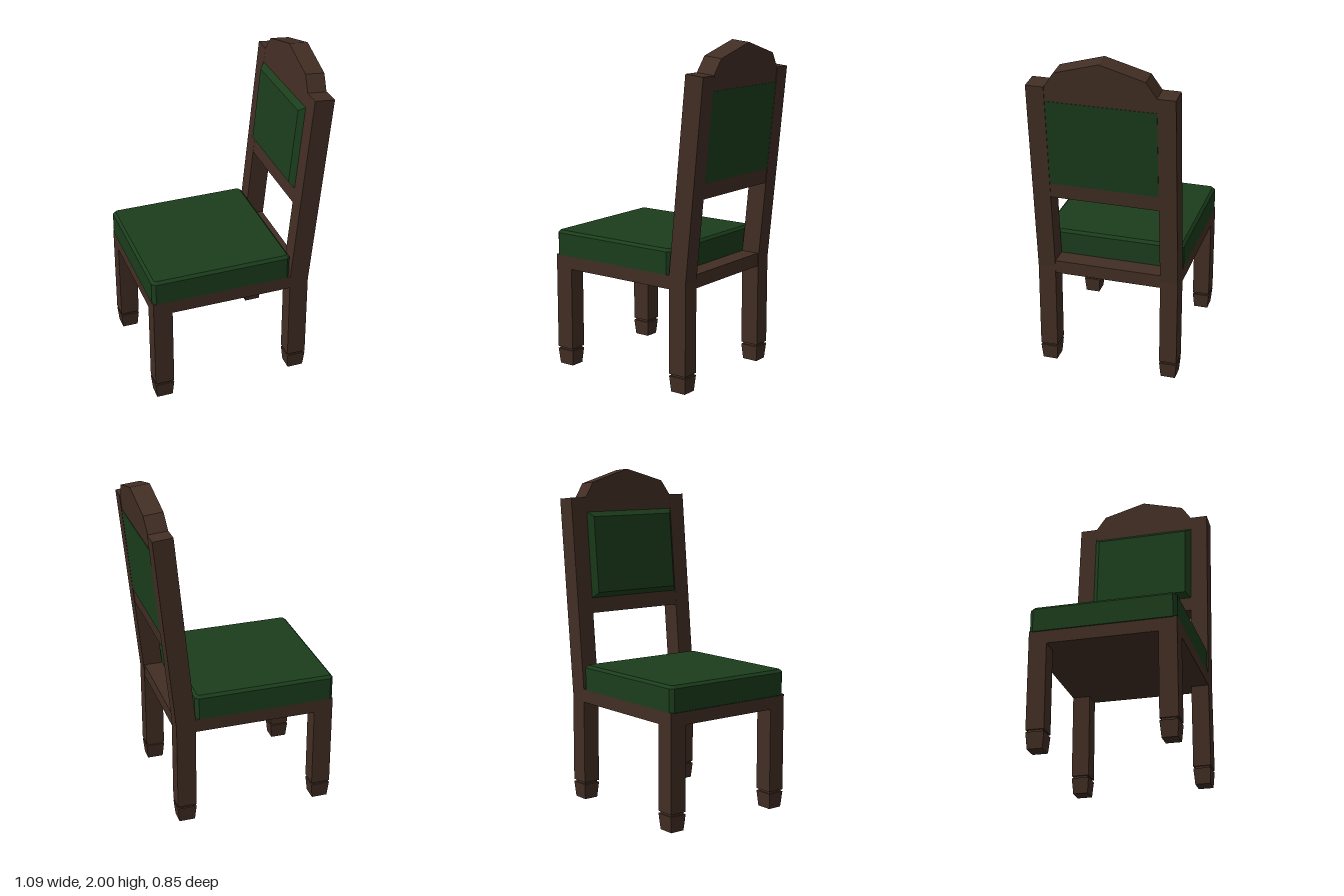
import * as THREE from 'three';

const wood = new THREE.MeshStandardMaterial({ color: 0x422e24, flatShading: true });
const fabric = new THREE.MeshStandardMaterial({ color: 0x1b3d1c, flatShading: true });

function add(parent, name, geometry, material, x = 0, y = 0, z = 0) {
  const mesh = new THREE.Mesh(geometry, material);
  mesh.name = name;
  mesh.position.set(x, y, z);
  parent.add(mesh);
  return mesh;
}

const polygon = (points) => new THREE.Shape(points.map(([x, y]) => new THREE.Vector2(x, y)));

// Rectangle with cut corners, extruded with a single chamfer
function padGeometry(w, h, depth, chamfer, cut) {
  const a = w / 2 - chamfer, b = h / 2 - chamfer;
  const shape = cut > 0
    ? polygon([[-a + cut, -b], [a - cut, -b], [a, -b + cut], [a, b - cut],
      [a - cut, b], [-a + cut, b], [-a, b - cut], [-a, -b + cut]])
    : polygon([[-a, -b], [a, -b], [a, b], [-a, b]]);
  return new THREE.ExtrudeGeometry(shape, {
    depth, bevelEnabled: true, bevelSize: chamfer, bevelThickness: chamfer, bevelSegments: 1,
  });
}

export function createModel() {
  const chair = new THREE.Group();
  chair.name = 'chair';

  const legZ = 0.3725, legD = 0.105, legW = 0.115;
  const frontX = -0.49, rearX = 0.3605;

  // Square tapered foot with a narrow neck above it
  const footGeometry = new THREE.CylinderGeometry(Math.SQRT1_2, 0.84 * Math.SQRT1_2, 0.095, 4, 1);
  footGeometry.rotateY(Math.PI / 4);
  footGeometry.scale(legW, 1, legD);

  // Side outline of a rear leg continuing into the raked back post
  const postGeometry = new THREE.ExtrudeGeometry(polygon([
    [0.303, 0.108], [0.418, 0.108], [0.418, 0.65], [0.533, 1.825], [0.414, 1.836], [0.303, 0.69],
  ]), { depth: legD, bevelEnabled: false });

  for (const side of [-1, 1]) {
    const z = side * legZ;
    add(chair, 'frontLeg', new THREE.BoxGeometry(legW, 0.552, legD), wood, frontX, 0.384, z);
    add(chair, 'backPost', postGeometry, wood, 0, 0, z - legD / 2);
    for (const x of [frontX, rearX]) {
      add(chair, 'foot', footGeometry, wood, x, 0.0475, z);
      add(chair, 'footNeck', new THREE.BoxGeometry(legW * 0.84, 0.03, legD * 0.84), wood, x, 0.1, z);
    }
  }

  // Seat base, reaching back between the posts
  add(chair, 'seatBase', new THREE.BoxGeometry(0.855, 0.08, 0.85), wood, -0.12, 0.65, 0);
  add(chair, 'rearRail', new THREE.BoxGeometry(0.12, 0.08, 0.65), wood, 0.355, 0.65, 0);

  // Seat cushion, its lower chamfer sunk into the base
  const seat = padGeometry(0.852, 0.85, 0.136, 0.016, 0.012);
  seat.rotateX(-Math.PI / 2);
  add(chair, 'seatCushion', seat, fabric, -0.124, 0.688, 0);

  // Backrest tilted to follow the posts
  const back = new THREE.Group();
  back.name = 'backrest';
  back.position.set(0.304, 0.69, 0);
  back.rotation.z = -0.096;
  chair.add(back);

  const panel = new THREE.ExtrudeGeometry(polygon([
    [-0.32, 0.453], [0.32, 0.453], [0.32, 1.15], [0.26, 1.24], [0, 1.316], [-0.26, 1.24], [-0.32, 1.15],
  ]), { depth: 0.115, bevelEnabled: false });
  panel.rotateY(Math.PI / 2);
  add(back, 'backPanel', panel, wood);

  // Padded front and flat upholstered rear of the backrest
  const pad = padGeometry(0.638, 0.518, 0.02, 0.03, 0);
  pad.rotateY(-Math.PI / 2);
  add(back, 'backCushion', pad, fabric, 0.02, 0.803, 0);
  add(back, 'backCushionRear', new THREE.BoxGeometry(0.01, 0.52, 0.638), fabric, 0.1125, 0.804, 0);

  return chair;
}
